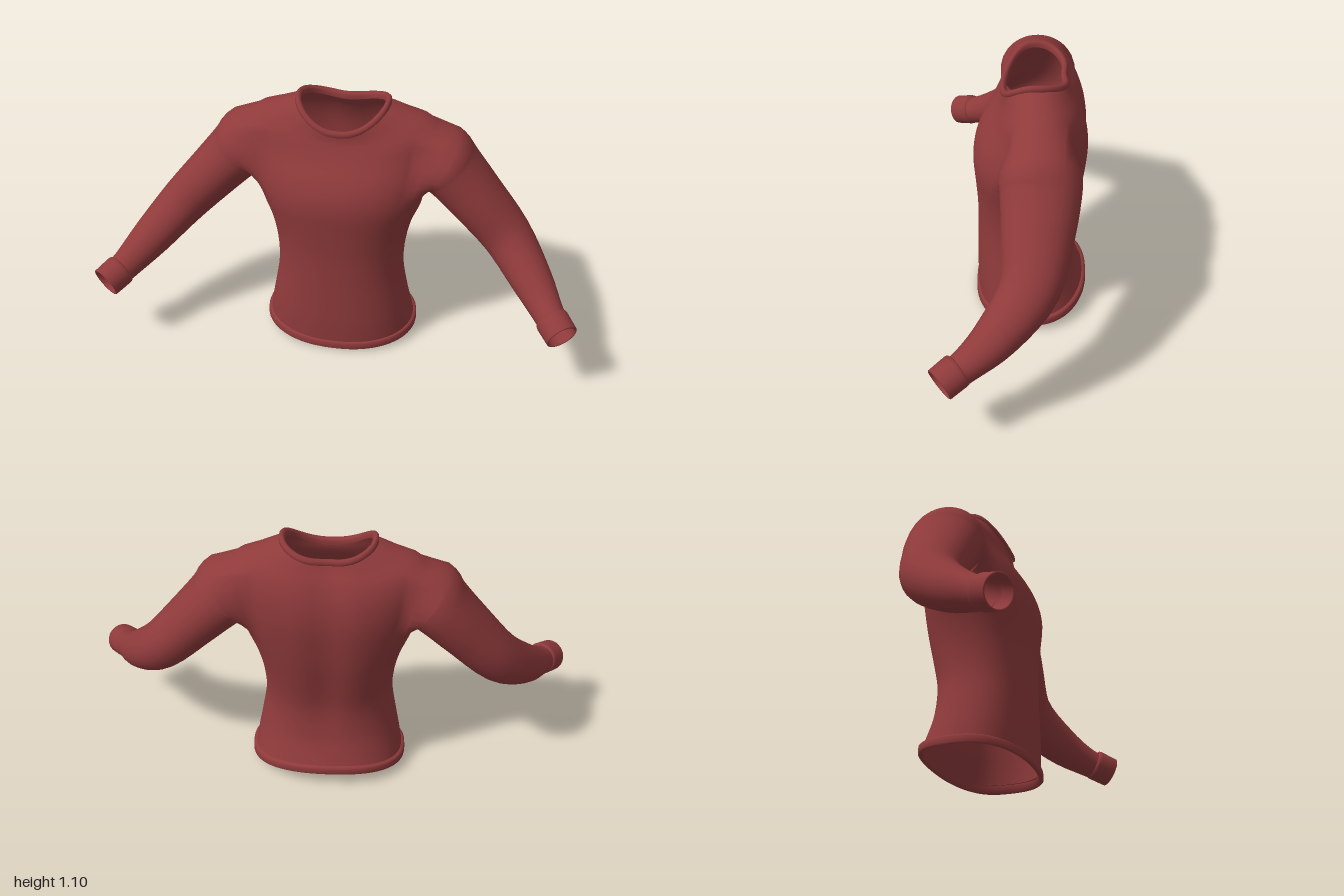
import * as THREE from 'three';

const fabric = new THREE.MeshStandardMaterial({ color: 0x8f3a3b, side: THREE.DoubleSide });
fabric.name = 'red fabric';

const COLS = 64;          // columns around the torso
const SUB = 3;            // rows per torso section
const ARM = 7;            // half width of an armhole, in columns
const ROW0 = 6 * SUB, ROW1 = 9 * SUB; // armhole bottom and top rows

// Torso sections, hem to neck: y front, y side, y back, half width, z front, z back
const TORSO = [
  [0.02, 0.045, 0.08, 0.312, 0.150, -0.295],
  [0.12, 0.13, 0.15, 0.297, 0.153, -0.266],
  [0.22, 0.22, 0.22, 0.28, 0.152, -0.246],
  [0.34, 0.34, 0.34, 0.262, 0.15, -0.238],
  [0.46, 0.46, 0.46, 0.268, 0.15, -0.258],
  [0.58, 0.57, 0.58, 0.292, 0.158, -0.28],
  [0.70, 0.66, 0.70, 0.328, 0.165, -0.294],
  [0.79, 0.77, 0.80, 0.36, 0.14, -0.298],
  [0.87, 0.90, 0.89, 0.38, 0.09, -0.285],
  [0.92, 1.00, 0.96, 0.37, 0.062, -0.258],
  [0.955, 1.045, 1.0, 0.27, 0.048, -0.232],
  [0.985, 1.08, 1.035, 0.18, 0.046, -0.212],
];

// Sleeve sections, shoulder to wrist: centre x, y, z, radius up, radius across
const SLEEVE = [
  [0.34, 0.86, -0.095, 0.16, 0.16],
  [0.40, 0.838, -0.097, 0.143, 0.157],
  [0.44, 0.80, -0.10, 0.124, 0.155],
  [0.54, 0.69, -0.09, 0.112, 0.14],
  [0.68, 0.535, -0.06, 0.1, 0.115],
  [0.80, 0.41, 0.06, 0.083, 0.088],
  [0.88, 0.337, 0.175, 0.063, 0.063],
  [0.932, 0.305, 0.258, 0.057, 0.057],
];

// Smooth interpolation of every number in a list of sections
function refine(keys, sub) {
  const out = [], last = keys.length - 1;
  const at = i => keys[Math.min(last, Math.max(0, i))];
  for (let i = 0; i < last; i++) {
    for (let s = 0; s < sub; s++) {
      const t = s / sub;
      out.push(keys[i].map((p1, k) => {
        const p0 = at(i - 1)[k], p2 = at(i + 1)[k], p3 = at(i + 2)[k];
        return p1 + 0.5 * t * (p2 - p0 + t * (2 * p0 - 5 * p1 + 4 * p2 - p3 + t * (3 * (p1 - p2) + p3 - p0)));
      }));
    }
  }
  out.push(keys[last]);
  return out;
}

// One rounded cross-section of the torso, with a shallow groove along the spine
function torsoRing([yF, yS, yB, w, zF, zB], grow = 0, lift = 0) {
  const ring = [], pw = 2 / 2.25;
  const mid = (zF + zB) / 2, depth = (zF - zB) / 2 + grow;
  for (let c = 0; c < COLS; c++) {
    const a = (c / COLS) * Math.PI * 2, co = Math.cos(a), si = Math.sin(a);
    const x = (w + grow) * Math.sign(co) * Math.abs(co) ** pw;
    let z = mid + depth * Math.sign(si) * Math.abs(si) ** pw;
    const y = yS + ((si > 0 ? yF : yB) - yS) * si * si + lift;
    if (si < 0) z += 0.018 * THREE.MathUtils.smoothstep(y, 0.1, 0.5) * Math.exp(-((x / 0.07) ** 2));
    ring.push(new THREE.Vector3(x, y, z));
  }
  return ring;
}

// Point on a tilted ellipse around a centre, facing along the tangent
function tubePoint(centre, tangent, ru, rv, angle, side) {
  const u = new THREE.Vector3(-tangent.y, tangent.x, 0).normalize();
  const v = new THREE.Vector3().crossVectors(tangent, u).normalize();
  const p = centre.clone().addScaledVector(u, ru * Math.cos(angle)).addScaledVector(v, rv * Math.sin(angle));
  p.x *= side;
  return p;
}

function toGeometry(points, index) {
  const g = new THREE.BufferGeometry().setFromPoints(points);
  g.setIndex(index);
  g.computeVertexNormals();
  return g;
}

function quad(index, a, b, c, d) {
  index.push(a, b, d, b, c, d);
}

// Skin over a list of closed rings of equal length
function loft(rings) {
  const n = rings[0].length, index = [];
  for (let r = 0; r < rings.length - 1; r++) {
    for (let c = 0; c < n; c++) {
      const d = (c + 1) % n;
      quad(index, r * n + c, (r + 1) * n + c, (r + 1) * n + d, r * n + d);
    }
  }
  return toGeometry(rings.flat(), index);
}

// Torso with two armholes, and sleeves grown from the armhole edges
function shirtGeometry() {
  const rows = refine(TORSO, SUB);
  const points = rows.flatMap(k => torsoRing(k));
  const index = [];
  const id = (r, c) => r * COLS + ((c + COLS) % COLS);
  for (let r = 0; r < rows.length - 1; r++) {
    for (let c = 0; c < COLS; c++) {
      const off = (c + ARM) % (COLS / 2);
      if (r >= ROW0 && r < ROW1 && off < 2 * ARM) continue;
      quad(index, id(r, c), id(r + 1, c), id(r + 1, c + 1), id(r, c + 1));
    }
  }

  const keys = refine(SLEEVE, 4);
  const centres = keys.map(k => new THREE.Vector3(k[0], k[1], k[2]));
  for (const side of [1, -1]) {
    const mid = side > 0 ? 0 : COLS / 2;
    let loop = [];
    for (let c = -ARM; c < ARM; c++) loop.push(id(ROW0, mid + c));
    for (let r = ROW0; r < ROW1; r++) loop.push(id(r, mid + ARM));
    for (let c = ARM; c > -ARM; c--) loop.push(id(ROW1, mid + c));
    for (let r = ROW1; r > ROW0; r--) loop.push(id(r, mid - ARM));
    const edge = loop.map(i => points[i]);
    const angles = edge.map(p => Math.atan2(p.z - SLEEVE[0][2], p.y - 0.84));
    const ringAt = i => {
      const t = centres[Math.min(i + 1, centres.length - 1)].clone().sub(centres[i - 1]).normalize();
      return angles.map(a => tubePoint(centres[i], t, keys[i][3], keys[i][4], a, side));
    };
    const first = ringAt(4);
    const rings = [1 / 3, 2 / 3].map(t => edge.map((p, j) => p.clone().lerp(first[j], t)));
    for (let i = 4; i < keys.length; i++) rings.push(ringAt(i));
    for (const ring of rings) {
      const next = ring.map((p, j) => points.length + j);
      points.push(...ring);
      loop.forEach((a, j) => {
        const k = (j + 1) % loop.length;
        quad(index, a, next[j], next[k], loop[k]);
      });
      loop = next;
    }
  }
  return toGeometry(points, index);
}

// Band around a torso section; profile pairs are outward offset and lift
function bandGeometry(section, profile) {
  return loft(profile.map(([grow, lift]) => torsoRing(section, grow, lift)));
}

// Cuff at the wrist; profile pairs are position along the cuff and radius
function cuffGeometry(side) {
  const a = new THREE.Vector3(0.893, 0.33, 0.2), b = new THREE.Vector3(0.942, 0.3, 0.268);
  const t = b.clone().sub(a).normalize();
  const profile = [[-0.05, 0.058], [0, 0.066], [0.12, 0.068], [0.55, 0.067], [0.97, 0.066], [1, 0.063], [0.98, 0.058], [0.3, 0.055]];
  return loft(profile.map(([s, r]) => {
    const centre = a.clone().lerp(b, s);
    return Array.from({ length: 32 }, (_, j) => tubePoint(centre, t, r, r, (-side * j * Math.PI) / 16, side));
  }));
}

export function createModel() {
  const group = new THREE.Group();
  group.name = 'longSleeveShirt';
  const add = (name, geometry) => {
    const mesh = new THREE.Mesh(geometry, fabric);
    mesh.name = name;
    group.add(mesh);
  };
  add('bodyAndSleeves', shirtGeometry());
  add('hemBand', bandGeometry(TORSO[0], [[-0.012, 0.01], [-0.008, -0.012], [0.004, -0.018], [0.011, -0.012], [0.01, 0.012], [0.004, 0.018], [-0.006, 0.02]]));
  add('collar', bandGeometry(TORSO[TORSO.length - 1], [[0.004, -0.01], [0.011, -0.004], [0.01, 0.01], [0.002, 0.018], [-0.008, 0.014], [-0.013, 0.004], [-0.012, -0.012]]));
  add('leftCuff', cuffGeometry(1));
  add('rightCuff', cuffGeometry(-1));
  return group;
}
